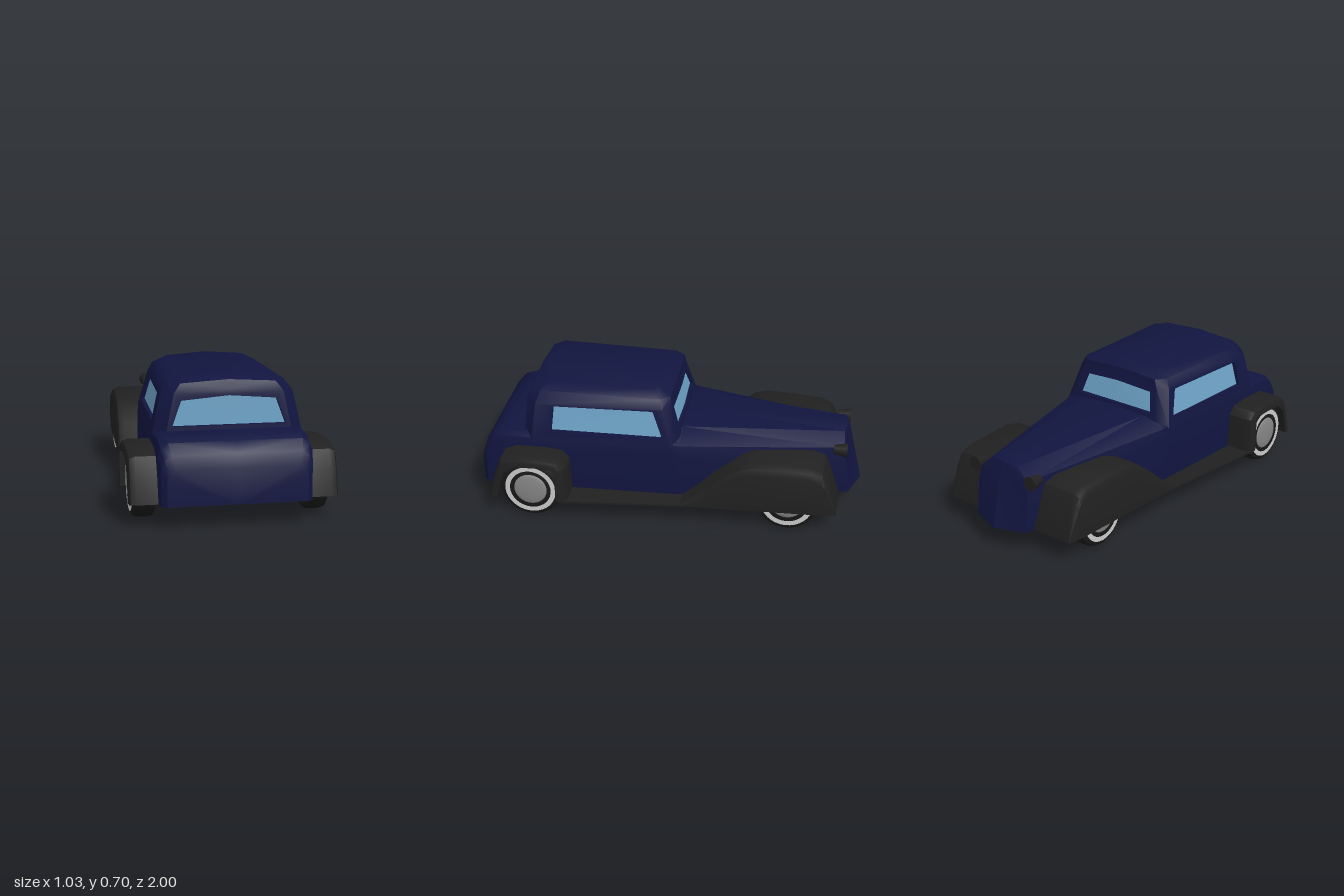
import * as THREE from 'three';
import { toCreasedNormals } from 'three/addons/utils/BufferGeometryUtils.js';

const paint = new THREE.MeshStandardMaterial({ color: 0x11153f });
const dark = new THREE.MeshStandardMaterial({ color: 0x202020 });
const glass = new THREE.MeshStandardMaterial({ color: 0x6ca0c4 });
const rubber = new THREE.MeshStandardMaterial({ color: 0x181818 });
const whitewall = new THREE.MeshStandardMaterial({ color: 0xcccccc });
const steel = new THREE.MeshStandardMaterial({ color: 0x858585 });

// Adds a flat convex face and its twin across x = 0
function face(out, pts) {
  for (let i = 1; i < pts.length - 1; i++) {
    const t = [pts[0], pts[i], pts[i + 1]];
    for (const p of t) out.push(...p);
    for (const p of t.reverse()) out.push(-p[0], p[1], p[2]);
  }
}

// Skins a row of cross-sections, each a list of [x, y, z]
function loft(out, rings, capStart, capEnd) {
  for (let i = 0; i < rings.length - 1; i++) {
    const a = rings[i], b = rings[i + 1];
    for (let j = 0; j < a.length - 1; j++) face(out, [a[j], a[j + 1], b[j + 1], b[j]]);
  }
  if (capStart) face(out, [...rings[0]].reverse());
  if (capEnd) face(out, rings[rings.length - 1]);
}

function toMesh(name, verts, material, crease = 0.6) {
  const g = new THREE.BufferGeometry();
  g.setAttribute('position', new THREE.Float32BufferAttribute(verts, 3));
  const mesh = new THREE.Mesh(toCreasedNormals(g, crease), material);
  mesh.name = name;
  return mesh;
}

// Wall with a recessed pane; skip is the edge lying on the centre line
function windowWall(wall, pane, outer, inner, d, skip = -1) {
  const deep = inner.map((p) => p.map((v, k) => v + d[k]));
  outer.forEach((o, i) => {
    if (i === skip) return;
    const n = (i + 1) % outer.length;
    face(wall, [o, outer[n], inner[n], inner[i]]);
    face(wall, [inner[i], inner[n], deep[n], deep[i]]);
  });
  face(pane, deep);
}

function makeBody() {
  const at = (z, pts) => pts.map(([x, y]) => [x, y, z]);
  const v = [];
  // Hood, waist and rounded tail, from nose to back
  loft(v, [
    [[0, 0.115, -1], [0.165, 0.115, -0.94], [0.165, 0.3, -0.92], [0.155, 0.38, -0.91], [0.085, 0.44, -0.9], [0, 0.455, -0.92]],
    at(-0.06, [[0, 0.115], [0.345, 0.115], [0.343, 0.36], [0.33, 0.41], [0.2, 0.455], [0, 0.468]]),
    at(-0.02, [[0, 0.115], [0.348, 0.115], [0.347, 0.38], [0.34, 0.42], [0.28, 0.45], [0, 0.46]]),
    at(0.72, [[0, 0.115], [0.375, 0.115], [0.375, 0.38], [0.365, 0.412], [0.33, 0.43], [0, 0.43]]),
    at(0.86, [[0, 0.115], [0.375, 0.115], [0.375, 0.375], [0.365, 0.41], [0.33, 0.43], [0, 0.43]]),
    at(0.93, [[0, 0.115], [0.373, 0.115], [0.373, 0.35], [0.36, 0.385], [0.325, 0.408], [0, 0.41]]),
    at(0.975, [[0, 0.115], [0.365, 0.115], [0.365, 0.3], [0.35, 0.335], [0.315, 0.358], [0, 0.36]]),
    at(1, [[0, 0.115], [0.34, 0.115], [0.34, 0.25], [0.325, 0.275], [0.295, 0.29], [0, 0.295]]),
  ], true, true);
  return toMesh('body', v, paint);
}

function makeCabin() {
  const g = new THREE.Group();
  g.name = 'cabin';
  const v = [], p = [];
  // Half rings run from rear centre, round the side, to front centre
  const belt = [[0, 0.42, 0.77], [0.31, 0.42, 0.77], [0.373, 0.4, 0.72], [0.347, 0.41, -0.02], [0.28, 0.44, -0.055], [0, 0.455, -0.06]];
  const eave = [[0, 0.625, 0.757], [0.27, 0.61, 0.755], [0.33, 0.6, 0.7], [0.3, 0.6, 0.04], [0.25, 0.605, -0.005], [0, 0.62, -0.015]];
  const curve = [[0, 0.67, 0.737], [0.235, 0.655, 0.733], [0.288, 0.655, 0.68], [0.275, 0.65, 0.05], [0.235, 0.65, 0], [0, 0.665, -0.005]];
  const crown = [[0, 0.69, 0.69], [0.2, 0.683, 0.68], [0.225, 0.68, 0.64], [0.22, 0.682, 0.1], [0.2, 0.687, 0.07], [0, 0.7, 0.06]];
  // Roof
  loft(v, [eave, curve, crown], false, true);
  // Corner pillars
  for (const j of [1, 3]) loft(v, [belt.slice(j, j + 2), eave.slice(j, j + 2)]);
  // Rear window
  windowWall(v, p, [belt[0], belt[1], eave[1], eave[0]],
    [[0, 0.45, 0.768], [0.28, 0.45, 0.768], [0.235, 0.575, 0.758], [0, 0.595, 0.759]], [0, 0, -0.02], 3);
  // Side windows
  windowWall(v, p, [belt[2], belt[3], eave[3], eave[2]],
    [[0.36, 0.457, 0.615], [0.336, 0.45, 0.03], [0.304, 0.59, 0.085], [0.33, 0.59, 0.605]], [-0.02, 0, 0]);
  // Windshield
  windowWall(v, p, [belt[4], belt[5], eave[5], eave[4]],
    [[0.24, 0.475, -0.046], [0, 0.48, -0.054], [0, 0.595, -0.022], [0.215, 0.58, -0.013]], [0, 0, 0.018], 1);
  g.add(toMesh('cabinShell', v, paint), toMesh('windows', p, glass, 0.1));
  return g;
}

function makeFenders() {
  const g = new THREE.Group();
  g.name = 'fenders';
  // Front: solid sweep, [z, height, outer x]
  let v = [];
  loft(v, [
    [-0.89, 0.125, 0.4], [-0.83, 0.31, 0.412], [-0.81, 0.345, 0.414], [-0.75, 0.37, 0.416], [-0.6, 0.378, 0.422],
    [-0.45, 0.38, 0.428], [-0.38, 0.36, 0.432], [-0.25, 0.265, 0.438], [-0.15, 0.175, 0.442], [-0.08, 0.125, 0.445],
  ].map(([z, h, x]) => {
    const r = Math.min(0.045, (h - 0.115) * 0.5), b = 0.115, i = 0.17;
    return [[i, b], [x, b], [x, h - r], [x - r * 0.3, h - r * 0.3], [x - r, h], [i, h], [i, b]].map(([px, py]) => [px, py, z]);
  }), true, true);
  g.add(toMesh('frontFenders', v, dark));

  // Rear: open arch, [outer z, outer y, inner z, inner y]
  v = [];
  loft(v, [
    [0.512, 0.115, 0.57, 0.115], [0.52, 0.31, 0.57, 0.295], [0.555, 0.352, 0.585, 0.312], [0.65, 0.364, 0.68, 0.316],
    [0.8, 0.364, 0.79, 0.31], [0.865, 0.335, 0.84, 0.27], [0.9, 0.25, 0.865, 0.2], [0.935, 0.115, 0.885, 0.115],
  ].map(([pz, py, qz, qy]) => {
    const mix = (x, t) => [x, py + (qy - py) * t, pz + (qz - pz) * t];
    return [mix(0.34, 1), mix(0.513, 1), mix(0.513, 0.6), mix(0.503, 0.2), mix(0.475, 0), mix(0.34, 0), mix(0.34, 1)];
  }), true, true);
  g.add(toMesh('rearFenders', v, dark));

  // Running boards
  v = [];
  loft(v, [[-0.1, 0.3, 0.444], [0.53, 0.35, 0.511]].map(([z, a, b]) =>
    [[a, 0.113, z], [b, 0.113, z], [b, 0.123, z], [a, 0.123, z], [a, 0.113, z]]), true, true);
  g.add(toMesh('runningBoards', v, dark, 0.1));
  return g;
}

function makeWheel(side, x, z) {
  const g = new THREE.Group();
  g.name = 'wheel';
  const add = (name, geo, mat, y = 0) => {
    const m = new THREE.Mesh(geo, mat);
    m.name = name;
    m.position.y = y;
    g.add(m);
  };
  const profile = [[0, -0.058], [0.14, -0.058], [0.158, -0.048], [0.165, -0.03], [0.165, 0.03],
    [0.158, 0.048], [0.14, 0.057], [0, 0.057]].map((q) => new THREE.Vector2(...q));
  add('tyre', toCreasedNormals(new THREE.LatheGeometry(profile, 40), 0.7), rubber);
  add('whitewall', new THREE.RingGeometry(0.11, 0.136, 40).rotateX(-Math.PI / 2), whitewall, 0.0595);
  add('hubcap', new THREE.SphereGeometry(0.088, 32, 8, 0, Math.PI * 2, 0, Math.PI / 2).scale(1, 0.15, 1), steel, 0.057);
  g.rotation.z = -side * Math.PI / 2;
  g.position.set(side * x, 0.166, z);
  return g;
}

export function createModel() {
  const model = new THREE.Group();
  model.name = 'vintageCar';
  model.add(makeBody(), makeCabin(), makeFenders());
  for (const side of [-1, 1]) {
    model.add(makeWheel(side, 0.346, -0.635), makeWheel(side, 0.427, 0.71));
    // Headlight, flaring toward the nose
    const lamp = new THREE.Mesh(new THREE.CylinderGeometry(0.038, 0.024, 0.07, 16), dark);
    lamp.name = 'headlight';
    lamp.rotation.x = -Math.PI / 2;
    lamp.position.set(side * 0.184, 0.383, -0.888);
    model.add(lamp);
  }
  return model;
}
